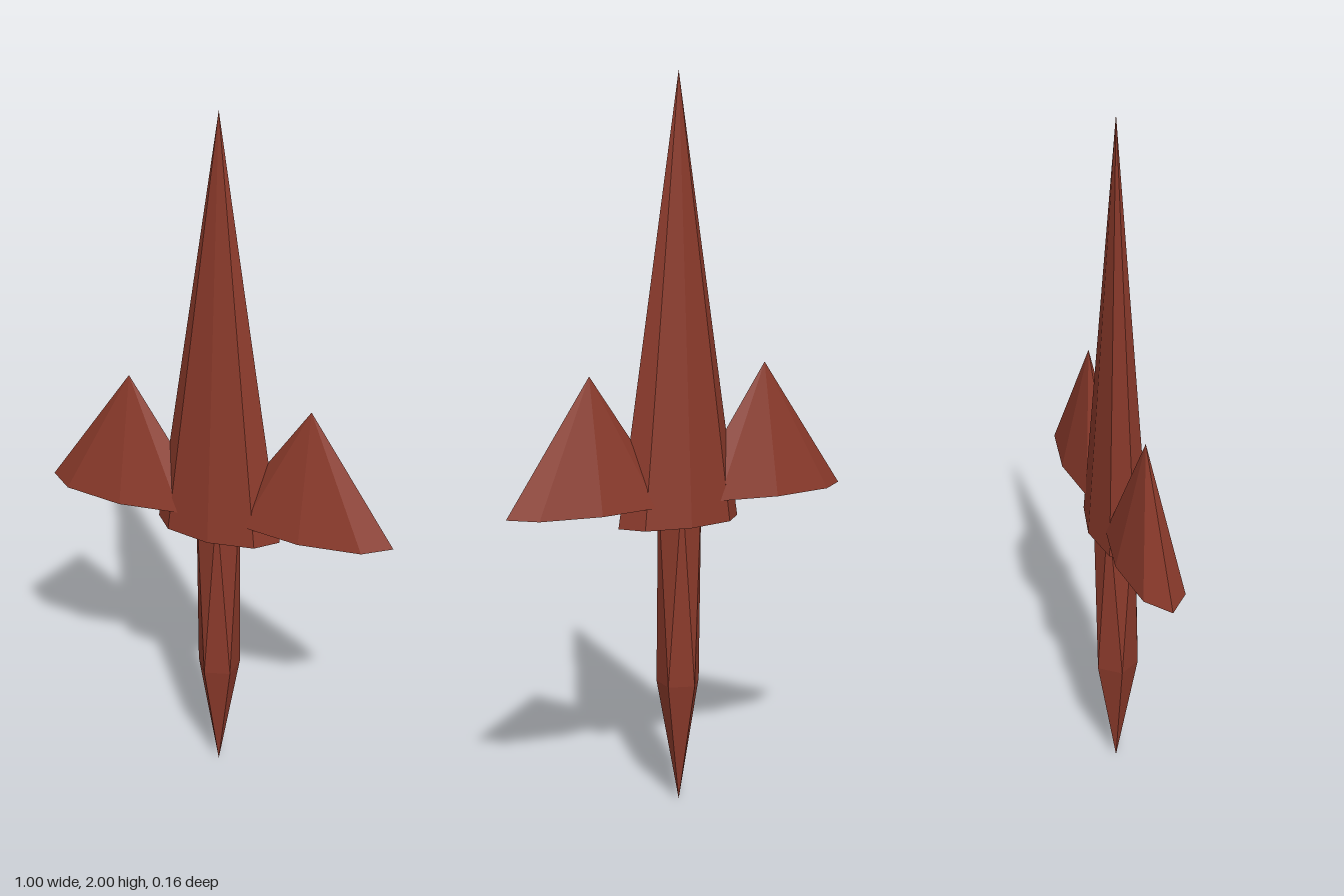
import * as THREE from 'three';
import { ConvexGeometry } from 'three/addons/geometries/ConvexGeometry.js';

const rust = new THREE.MeshStandardMaterial({ color: 0x8b3a2b });
rust.name = 'rust red';
rust.flatShading = true;

// Flattened eight-sided spike standing on its base
function spike(name, x, baseY, tipY, halfWidth, halfDepth) {
  const geometry = new THREE.ConeGeometry(1, 1, 8);
  geometry.translate(0, 0.5, 0);
  geometry.scale(halfWidth, tipY - baseY, halfDepth);
  const mesh = new THREE.Mesh(geometry, rust);
  mesh.name = name;
  mesh.position.set(x, baseY, 0);
  return mesh;
}

// Stretched icosahedron: two tips and two five-sided rings, half a step apart
function makeHandle() {
  const halfHeight = 0.62, radius = 0.062;
  const ringY = halfHeight / Math.sqrt(5);
  const points = [new THREE.Vector3(0, -halfHeight, 0), new THREE.Vector3(0, halfHeight, 0)];
  for (let i = 0; i < 5; i++) {
    const a = (i / 5) * Math.PI * 2;
    const x = radius * Math.cos(a), z = radius * Math.sin(a);
    points.push(new THREE.Vector3(x, ringY, z), new THREE.Vector3(-x, -ringY, z));
  }
  const mesh = new THREE.Mesh(new ConvexGeometry(points), rust);
  mesh.name = 'handle';
  mesh.position.y = halfHeight;
  return mesh;
}

export function createModel() {
  const model = new THREE.Group();
  model.name = 'spearhead';
  model.add(spike('blade', 0, 0.795, 2, 0.18, 0.079));
  // Side barbs
  for (const side of [-1, 1]) {
    model.add(spike(side > 0 ? 'leftBarb' : 'rightBarb', side * 0.262, 0.855, 1.215, 0.24, 0.08));
  }
  model.add(makeHandle());
  return model;
}
